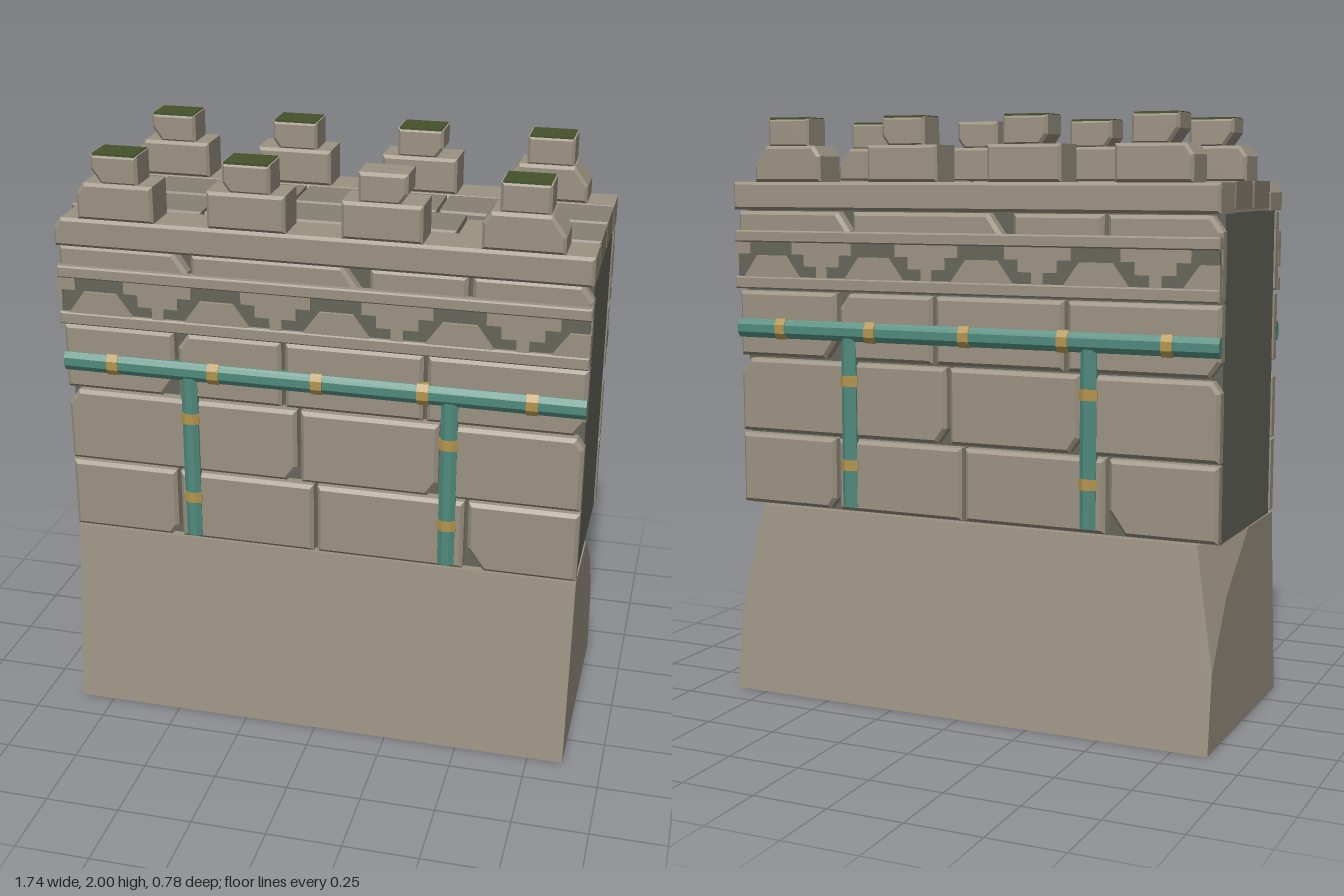
import * as THREE from 'three';
import { ConvexGeometry } from 'three/addons/geometries/ConvexGeometry.js';

const mat = (color) => new THREE.MeshStandardMaterial({ color, flatShading: true });
const STONE = mat(0x9b9282), PAVING = mat(0x878073), DARK = mat(0x65655a);
const TEAL = mat(0x4f8a7c), GOLD = mat(0xb4954f), MOSS = mat(0x44522a);

function add(parent, name, geometry, material) {
  const mesh = new THREE.Mesh(geometry, material);
  mesh.name = name;
  parent.add(mesh);
  return mesh;
}

function box(parent, name, x0, x1, y0, y1, z0, z1, material) {
  const mesh = add(parent, name, new THREE.BoxGeometry(x1 - x0, y1 - y0, z1 - z0), material);
  mesh.position.set((x0 + x1) / 2, (y0 + y1) / 2, (z0 + z1) / 2);
  return mesh;
}

// Bevelled block; chips cut the corners [bottom left, bottom right, top right, top left]
function stone(parent, name, x0, x1, y0, y1, z0, z1, chips = [], material = STONE, b = 0.01) {
  const corners = [[x0 + b, y0 + b], [x1 - b, y0 + b], [x1 - b, y1 - b], [x0 + b, y1 - b]];
  const points = [];
  corners.forEach(([x, y], i) => {
    const c = chips[i] || 0;
    const sx = i === 0 || i === 3 ? 1 : -1, sy = i < 2 ? 1 : -1;
    if (!c) return points.push(new THREE.Vector2(x, y));
    const cut = [new THREE.Vector2(x, y + sy * c * 1.4), new THREE.Vector2(x + sx * c, y)];
    points.push(...(i % 2 ? cut.reverse() : cut));
  });
  const geometry = new THREE.ExtrudeGeometry(new THREE.Shape(points), {
    depth: z1 - z0 - 2 * b, bevelEnabled: true, bevelSegments: 1, bevelSize: b, bevelThickness: b,
  });
  geometry.translate(0, 0, z0 + b);
  return add(parent, name, geometry, material);
}

// Flattened eight-sided rod lying against the wall
function rod(parent, name, x, y, length, radius, horizontal, material) {
  const geometry = new THREE.CylinderGeometry(radius, radius, length, 8);
  geometry.rotateY(Math.PI / 8);
  if (horizontal) geometry.rotateZ(Math.PI / 2);
  geometry.scale(1, 1, 0.7);
  add(parent, name, geometry, material).position.set(x, y, 0.322);
}

// Sloping foot with both rear upper corners broken off
function createBase() {
  const points = [];
  for (const s of [-1, 1]) {
    for (const [x, y, z] of [
      [0.87, 0, 0.39], [0.87, 0, -0.39], [0.87, 0.655, 0.31], [0.87, 0.655, 0.02],
      [0.87, 0.48, -0.21], [0.87, 0.26, -0.358], [0.8, 0.655, -0.31],
    ]) points.push(new THREE.Vector3(s * x, y, z));
  }
  return new ConvexGeometry(points);
}

// Stepped ornament band
function addFrieze(face) {
  box(face, 'friezeRecess', -0.865, 0.865, 1.43, 1.61, 0.315, 0.336, DARK);
  stone(face, 'friezeLowerBand', -0.87, 0.87, 1.42, 1.462, 0.315, 0.352, [], STONE, 0.005);
  stone(face, 'friezeUpperBand', -0.87, 0.87, 1.58, 1.62, 0.315, 0.352, [], STONE, 0.005);
  const clip = (x) => Math.max(-0.87, Math.min(0.87, x));
  for (let i = 0; i < 5; i++) {
    const valley = -0.925 + i * 0.397, peak = valley + 0.198;
    // Hanging steps
    [0.02, 0.068, 0.115].forEach((half, k) => {
      const a = clip(valley - half), b = clip(valley + half);
      if (b - a > 0.01) box(face, 'friezeStep', a, b, 1.46 + k * 0.04, 1.5 + k * 0.04, 0.32, 0.348, STONE);
    });
    // Standing mound below them
    const shape = new THREE.Shape([[-0.11, 1.46], [0.11, 1.46], [0.055, 1.535], [-0.055, 1.535]]
      .map(([x, y]) => new THREE.Vector2(clip(peak + x), y)));
    const geometry = new THREE.ExtrudeGeometry(shape, { depth: 0.028, bevelEnabled: false });
    geometry.translate(0, 0, 0.32);
    add(face, 'friezeMound', geometry, STONE);
  }
}

// One long wall face: masonry, frieze and pipework
function createFace() {
  const face = new THREE.Group();
  face.name = 'wallFace';
  const courses = [
    { y: [0.665, 0.91], joints: [-0.87, -0.49, -0.01, 0.5, 0.87], chips: { 0: [0, 0.02], 3: [0.05] } },
    { y: [0.92, 1.175], joints: [-0.87, -0.425, -0.065, 0.41, 0.87], chips: { 0: [0, 0, 0, 0.03], 1: [0, 0.03], 2: [0, 0.03], 3: [0, 0, 0.02] } },
    { y: [1.185, 1.41], joints: [-0.87, -0.48, -0.115, 0.355, 0.87], chips: { 0: [0, 0.04], 1: [0, 0, 0, 0.03], 3: [0, 0.03] } },
    { y: [1.425, 1.685], joints: [-0.87, -0.425, 0.165, 0.49, 0.87], chips: { 0: [0, 0, 0.04], 1: [0, 0, 0.07], 3: [0, 0, 0.03] } },
  ];
  for (const { y, joints, chips } of courses) {
    for (let i = 0; i < 4; i++) {
      const left = joints[i] + (i ? 0.007 : 0), right = joints[i + 1] - (i < 3 ? 0.007 : 0);
      stone(face, 'wallStone', left, right, y[0], y[1], 0.27, 0.328, chips[i], STONE, 0.012);
    }
  }
  addFrieze(face);

  rod(face, 'horizontalPipe', 0, 1.282, 1.74, 0.035, true, TEAL);
  for (const x of [-0.7, -0.35, 0, 0.35, 0.7]) rod(face, 'pipeCollar', x, 1.282, 0.038, 0.039, true, GOLD);
  for (const x of [-0.437, 0.437]) {
    rod(face, 'verticalPipe', x, 0.97, 0.58, 0.03, false, TEAL);
    for (const y of [0.825, 1.115]) rod(face, 'pipeCollar', x, y, 0.036, 0.035, false, GOLD);
  }
  return face;
}

// Walkway slab, edge slabs and paving
function createWalkway() {
  const walkway = new THREE.Group();
  walkway.name = 'walkway';
  box(walkway, 'walkwaySlab', -0.865, 0.865, 1.69, 1.767, -0.21, 0.21, STONE);
  stone(walkway, 'frontEdgeSlab', -0.87, 0.87, 1.69, 1.785, 0.2, 0.357, [0, 0, 0, 0.02]);
  stone(walkway, 'rearEdgeSlab', -0.87, 0.87, 1.69, 1.785, -0.357, -0.2);
  const rows = [
    { z: [-0.2, -0.005], spans: [[-0.87, -0.76], [-0.74, -0.68], [-0.67, -0.46], [-0.27, -0.17], [-0.16, 0.03], [0.04, 0.315], [0.325, 0.57], [0.58, 0.87]] },
    { z: [0.005, 0.2], spans: [[-0.87, -0.785], [-0.775, -0.63], [-0.62, -0.42], [-0.41, -0.205], [-0.195, 0.09], [0.1, 0.42], [0.58, 0.87]] },
  ];
  for (const { z, spans } of rows) {
    for (const [a, b] of spans) stone(walkway, 'pavingStone', a, b, 1.7, 1.788, z[0], z[1], [], PAVING, 0.008);
  }
  return walkway;
}

// Two-tier battlement block, some capped with moss
function createMerlon(x, side, index) {
  const merlon = new THREE.Group();
  merlon.name = 'merlon';
  const lowerChips = [[0, 0, 0, 0.02], [], [], [0, 0, 0.04, 0.02]][index];
  const upperChips = [[0.03], [0.02], [0, 0.02], []][index];
  const mossy = !(side > 0 && index === 2);
  stone(merlon, 'merlonBase', x - 0.128, x + 0.128, 1.785, 1.905, -0.073, 0.073, lowerChips);
  stone(merlon, 'merlonTop', x - 0.078, x + 0.078, 1.9, 1.997, -0.062, 0.062, upperChips);
  if (mossy) box(merlon, 'mossCap', x - 0.072, x + 0.072, 1.985, 2, -0.056, 0.056, MOSS);
  merlon.position.z = side * 0.284;
  return merlon;
}

export function createModel() {
  const model = new THREE.Group();
  model.name = 'fortressWall';
  add(model, 'base', createBase(), STONE);
  box(model, 'wallCore', -0.865, 0.865, 0.655, 1.692, -0.28, 0.28, DARK);

  const front = createFace(), back = createFace();
  back.rotation.y = Math.PI;
  model.add(front, back, createWalkway());

  for (const side of [-1, 1]) {
    [-0.655, -0.22, 0.215, 0.652].forEach((x, i) => model.add(createMerlon(x, side, i)));
  }
  return model;
}
